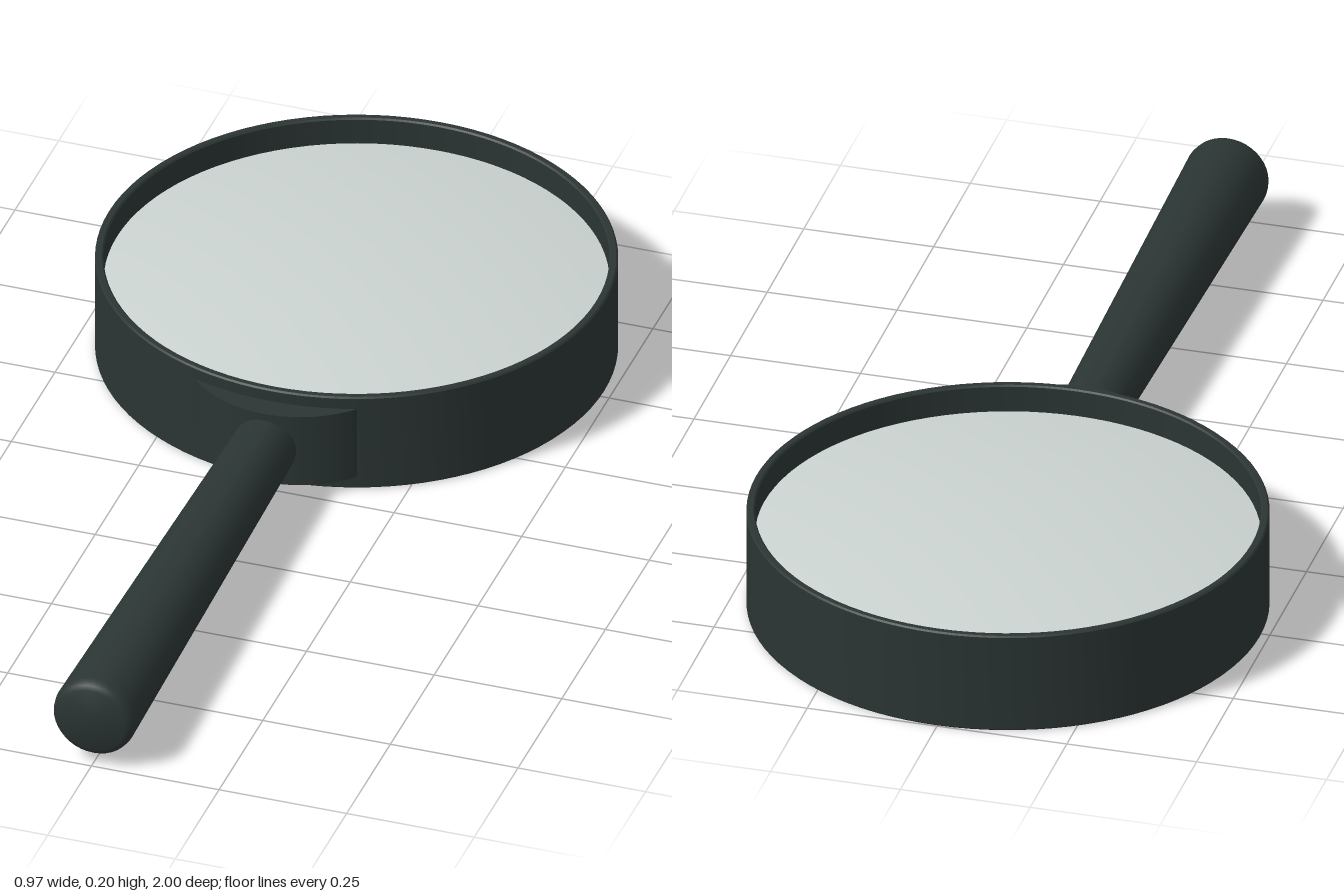
import * as THREE from 'three';
import { toCreasedNormals } from 'three/addons/utils/BufferGeometryUtils.js';

const RING_Z = -0.515;
const MID_Y = 0.1;

// Revolved solid from [radius, height] pairs running bottom to top on the outside
function turned(profile, segments) {
  const points = profile.map(([r, y]) => new THREE.Vector2(r, y));
  return toCreasedNormals(new THREE.LatheGeometry(points, segments), 0.6);
}

export function createModel() {
  const darkPlastic = new THREE.MeshStandardMaterial({ color: 0x2b3534 });
  darkPlastic.name = 'darkPlastic';
  const paleGlass = new THREE.MeshStandardMaterial({ color: 0xcbd3d1 });
  paleGlass.name = 'paleGlass';

  const model = new THREE.Group();
  model.name = 'magnifyingGlass';
  const add = (name, geometry, material) => {
    const mesh = new THREE.Mesh(geometry, material);
    mesh.name = name;
    model.add(mesh);
    return mesh;
  };

  // Tall thin rim with slightly eased edges
  const rim = add('rim', turned([
    [0.469, 0.003], [0.472, 0], [0.482, 0], [0.485, 0.003],
    [0.485, 0.197], [0.482, 0.2], [0.472, 0.2], [0.469, 0.197], [0.469, 0.003],
  ], 96), darkPlastic);
  rim.position.z = RING_Z;

  // Lens bulging on both sides
  const lensRadius = 0.47, edge = 0.045, bulge = 0.035, steps = 12;
  const lensProfile = [];
  for (const side of [-1, 1]) {
    for (let i = 0; i <= steps; i++) {
      const t = side < 0 ? i / steps : 1 - i / steps;
      lensProfile.push([lensRadius * t, side * (edge + bulge * (1 - t * t))]);
    }
  }
  const lens = add('lens', turned(lensProfile, 96), paleGlass);
  lens.position.set(0, MID_Y, RING_Z);

  // Curved bracket between the rim and the handle
  const shape = new THREE.Shape();
  shape.absarc(0, -0.195, 0.21, 0.634, Math.PI - 0.634, false);
  shape.absarc(0, RING_Z, 0.476, Math.PI - 1.2055, 1.2055, true);
  const bracketGeometry = new THREE.ExtrudeGeometry(shape, {
    depth: 0.15, bevelEnabled: false, curveSegments: 24,
  });
  bracketGeometry.rotateX(Math.PI / 2);
  const bracket = add('bracket', toCreasedNormals(bracketGeometry, 0.5), darkPlastic);
  bracket.position.y = 0.175;

  // Handle widening towards a softly rounded end
  const handle = add('handle', turned([
    [0, -0.02], [0.06, -0.02], [0.08, 0.978], [0.078, 0.988],
    [0.073, 0.995], [0.065, 1], [0, 1],
  ], 40), darkPlastic);
  handle.rotation.x = Math.PI / 2;
  handle.position.y = MID_Y;

  return model;
}
